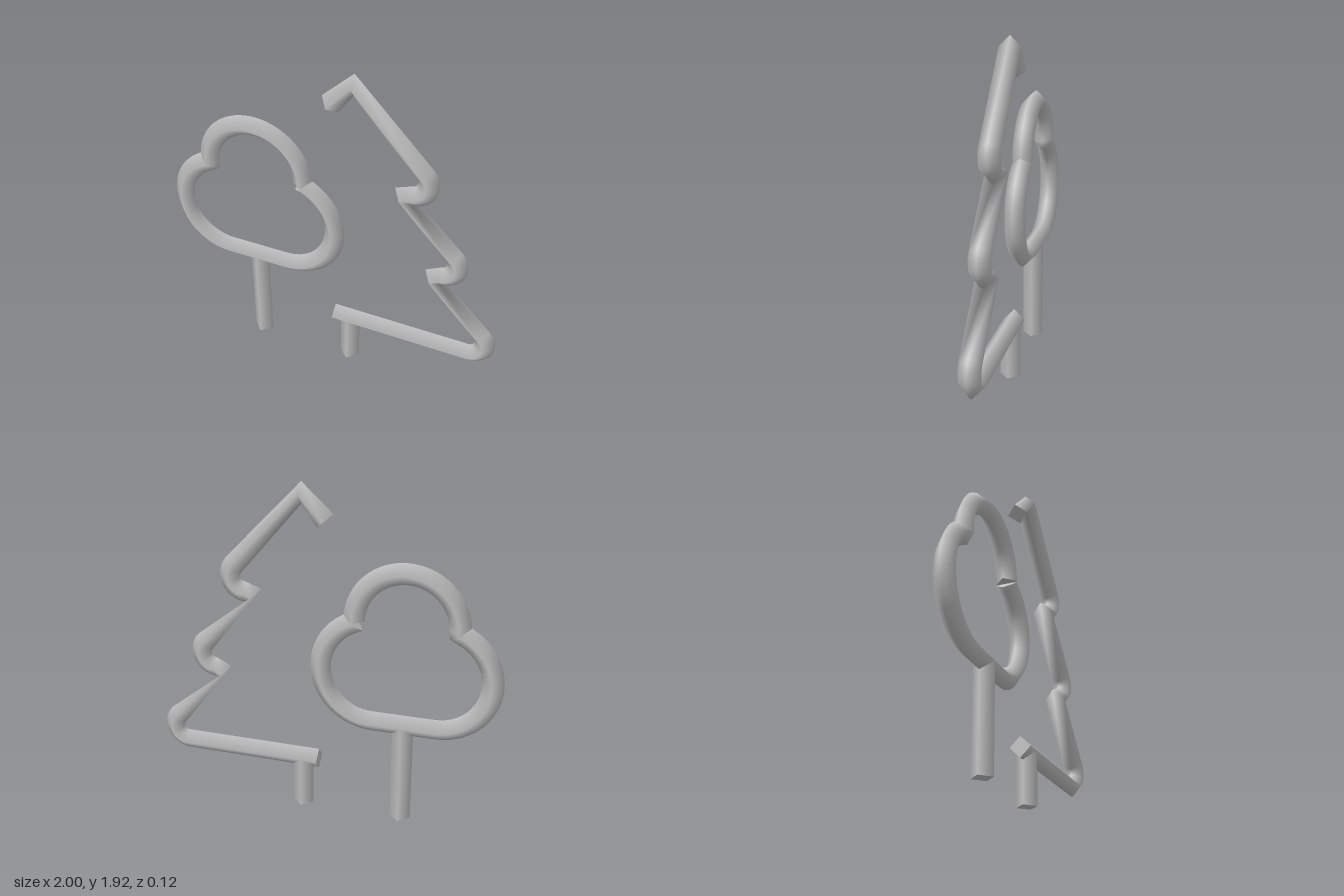
import * as THREE from 'three';

const R = 0.06; // half diagonal of the diamond section

// Points along an arc, angles in degrees; r is the centreline radius
function arc(cx, cy, r, from, to, steps) {
  const pts = [];
  for (let i = 0; i <= steps; i++) {
    const a = THREE.MathUtils.degToRad(from + (to - from) * i / steps);
    pts.push([cx + r * Math.cos(a), cy + r * Math.sin(a), Math.cos(a), Math.sin(a)]);
  }
  return pts;
}

// Sweep a smooth-shaded diamond along [x, y, nx, ny] rings and cap both ends
function sweep(name, rings, material) {
  const pos = [], nor = [], idx = [];
  const corners = ([x, y, nx, ny]) => {
    const l = Math.hypot(nx, ny);
    return [[nx / l, ny / l, 0], [0, 0, 1], [-nx / l, -ny / l, 0], [0, 0, -1]]
      .map(d => ({ d, p: [x + d[0] * R, y + d[1] * R, d[2] * R] }));
  };
  rings.forEach((ring, i) => {
    for (const { d, p } of corners(ring)) { pos.push(...p); nor.push(...d); }
    if (i === rings.length - 1) return;
    for (let k = 0; k < 4; k++) {
      const a = i * 4 + k, c = i * 4 + (k + 1) % 4;
      idx.push(a, a + 4, c, c, a + 4, c + 4);
    }
  });
  // flat end caps: facing backward at the start, forward at the end
  [[rings[0], -1], [rings[rings.length - 1], 1]].forEach(([ring, s]) => {
    const base = pos.length / 3;
    for (const { p } of corners(ring)) {
      pos.push(...p);
      nor.push(-ring[3] * s, ring[2] * s, 0);
    }
    if (s < 0) idx.push(base, base + 1, base + 2, base, base + 2, base + 3);
    else idx.push(base, base + 2, base + 1, base, base + 3, base + 2);
  });
  const g = new THREE.BufferGeometry();
  g.setAttribute('position', new THREE.Float32BufferAttribute(pos, 3));
  g.setAttribute('normal', new THREE.Float32BufferAttribute(nor, 3));
  g.setIndex(idx);
  const mesh = new THREE.Mesh(g, material);
  mesh.name = name;
  return mesh;
}

export function createModel() {
  const gray = new THREE.MeshStandardMaterial({ color: 0xc0c0c0 });
  gray.name = 'plain gray';

  const trunk = (name, x, top) => sweep(name, [[x, 0, 1, 0], [x, top, 1, 0]], gray);

  // Round tree: crown outline runs from the left notch over the top,
  // down the other side, along the base and back to the start
  const roundTree = new THREE.Group();
  roundTree.name = 'roundTree';
  const crown = [
    ...arc(-0.46, 1.18, 0.29, 0, 180, 28),
    [-0.745, 1.167, -0.82, 0.57],
    ...arc(-0.64, 0.89, 0.30, 114, 270, 24),
    ...arc(-0.28, 0.89, 0.30, -90, 66, 24),
    [-0.175, 1.167, 0.75, 0.66],
  ];
  roundTree.add(sweep('roundCrown', crown, gray), trunk('roundTreeTrunk', -0.46, 0.59));

  // Fir tree: half outline with three boughs, each a bend and a pinched notch
  const firTree = new THREE.Group();
  firTree.name = 'firTree';
  const outline = [
    [0.03, 0.30, 0, -1],
    ...arc(0.85, 0.39, 0.09, -90, 44, 14),
    [0.606, 0.774, 0.73, -0.68],
    ...arc(0.65, 0.89, 0.09, -90, 44, 14),
    [0.408, 1.265, 0.73, -0.68],
    ...arc(0.455, 1.37, 0.09, -90, 44, 14),
    [0.125, 1.86, 0, 1],
    [-0.007, 1.718, -0.74, 0.67],
  ];
  firTree.add(sweep('firOutline', outline, gray), trunk('firTreeTrunk', 0.125, 0.30));

  const model = new THREE.Group();
  model.name = 'twoTrees';
  model.add(roundTree, firTree);
  return model;
}
